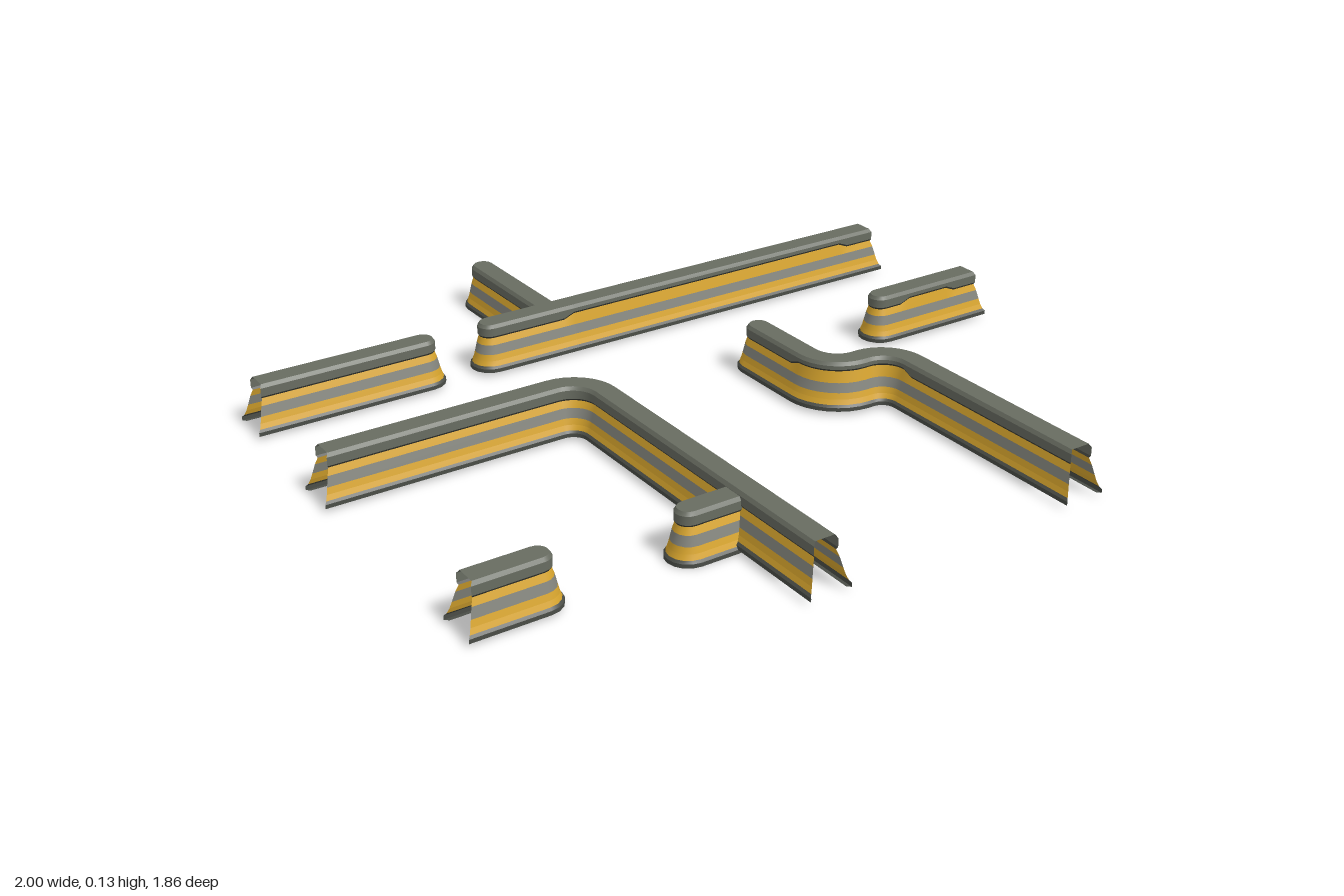
import * as THREE from 'three';

// Wall profile split in coloured bands, listed bottom to top: [half width, height, lifts with trim]
const BANDS = [
  ['baseFlange', 0x4a4d47, [[0.046, 0.01], [0.055, 0.01], [0.055, 0.02], [0.05, 0.026]]],
  ['lowerStripe', 0xd9a62e, [[0.05, 0.026], [0.045, 0.039], [0.041, 0.055]]],
  ['middlePanel', 0x85867e, [[0.041, 0.055], [0.035, 0.08]]],
  ['upperStripe', 0xd9a62e, [[0.035, 0.08], [0.029, 0.098, 1]]],
  ['trimLip', 0x3c3e39, [[0.029, 0.098, 1], [0.032, 0.103, 1]]],
  ['topTrim', 0x686c61, [[0.032, 0.103, 1], [0.032, 0.125], [0.026, 0.134], [0, 0.134]]],
];
const LIFT = 0.012;   // how far the trim edge rises in recessed stretches
const TOP = 0.027;    // half width where the flared open ends start

const materials = {};
const materialFor = (color) => (materials[color] ??=
  new THREE.MeshStandardMaterial({ color, side: THREE.DoubleSide }));

// Points of a bend on the ground plane
function arc(cx, cz, r, from, to, lift = 0, n = 8) {
  return Array.from({ length: n + 1 }, (_, i) => {
    const a = from + (to - from) * i / n;
    return [cx + r * Math.cos(a), cz + r * Math.sin(a), lift];
  });
}

// One stop per path point: position, outward direction, end flare direction, trim lift
function sideStops(path, side, flareStart, flareEnd) {
  return path.map((p, i) => {
    const a = path[Math.max(i - 1, 0)], b = path[Math.min(i + 1, path.length - 1)];
    const len = Math.hypot(b[0] - a[0], b[1] - a[1]);
    const tx = (b[0] - a[0]) / len, tz = (b[1] - a[1]) / len;
    const f = i === 0 && flareStart ? -1 : i === path.length - 1 && flareEnd ? 1 : 0;
    return { x: p[0], z: p[1], nx: tz * side, nz: -tx * side, fx: tx * f, fz: tz * f, lift: p[2] || 0 };
  });
}

// Skin the stops with one strip per profile segment, so edges stay crisp
function bandGeometry(run, profile) {
  const pos = [], index = [];
  for (let j = 0; j + 1 < profile.length; j++) {
    const start = pos.length / 3;
    run.forEach((s) => {
      for (const [w, y, lifts] of [profile[j], profile[j + 1]]) {
        const flare = Math.max(w - TOP, 0);
        pos.push(s.x + s.nx * w + s.fx * flare, y + (lifts ? s.lift * LIFT : 0),
          s.z + s.nz * w + s.fz * flare);
      }
    });
    for (let i = 0; i + 1 < run.length; i++) {
      const a = start + i * 2;
      index.push(a, a + 1, a + 2, a + 1, a + 3, a + 2);
    }
  }
  const g = new THREE.BufferGeometry();
  g.setAttribute('position', new THREE.Float32BufferAttribute(pos, 3));
  g.setIndex(index);
  g.computeVertexNormals();
  return g;
}

function wall(name, path, { round = true, flare = true, drop = 0 } = {}) {
  const group = new THREE.Group();
  group.name = name;
  group.position.y = -drop;
  const left = sideStops(path, 1, flare, !round);
  const right = sideStops(path, -1, flare, !round).reverse();
  let runs = [left, right];
  if (round) {
    // Half-round end joins both sides into one run
    const e = left[left.length - 1];
    const cap = [];
    for (let i = 1; i < 8; i++) {
      const c = Math.cos(Math.PI * i / 8), s = Math.sin(Math.PI * i / 8);
      cap.push({ ...e, nx: e.nx * c - e.nz * s, nz: e.nz * c + e.nx * s });
    }
    runs = [[...left, ...cap, ...right]];
  }
  for (const [band, color, profile] of BANDS) {
    for (const run of runs) {
      const mesh = new THREE.Mesh(bandGeometry(run, profile), materialFor(color));
      mesh.name = band;
      group.add(mesh);
    }
  }
  return group;
}

export function createModel() {
  const model = new THREE.Group();
  model.name = 'wallLayout';
  const { PI } = Math;
  model.add(
    // Back row with its branch
    wall('backRightWall', [[-0.955, -0.49], [-0.505, -0.49]]),
    wall('backLeftWall', [[0.945, -0.49], [0.86, -0.49], [0.83, -0.49, 1],
      [-0.07, -0.49, 1], [-0.1, -0.49], [-0.31, -0.49]]),
    wall('backBranch', [[-0.12, -0.49], [-0.12, -0.875]], { flare: false, drop: 0.01 }),
    // Corner wall with its side stub
    wall('cornerWall', [[-0.972, -0.065], ...arc(-0.37, 0.03, 0.095, -PI / 2, 0), [-0.275, 0.897]],
      { round: false }),
    wall('cornerStub', [[-0.275, 0.61], [-0.425, 0.61]], { flare: false, drop: 0.01 }),
    // Short end pieces
    wall('frontRightStub', [[-0.965, 0.61], [-0.8, 0.61]]),
    wall('middleLeftWall', [[0.972, -0.065], [0.9, -0.065], [0.87, -0.065, 1],
      [0.74, -0.065, 1], [0.71, -0.065], [0.66, -0.065]]),
    // Double-bend wall
    wall('doubleBendWall', [[0.46, 0.897], [0.46, 0.34], ...arc(0.37, 0.31, 0.09, 0, -PI / 2, 1),
      ...arc(0.355, 0.13, 0.09, PI / 2, PI, 1), [0.265, 0.1], [0.265, -0.08]]),
  );
  return model;
}
